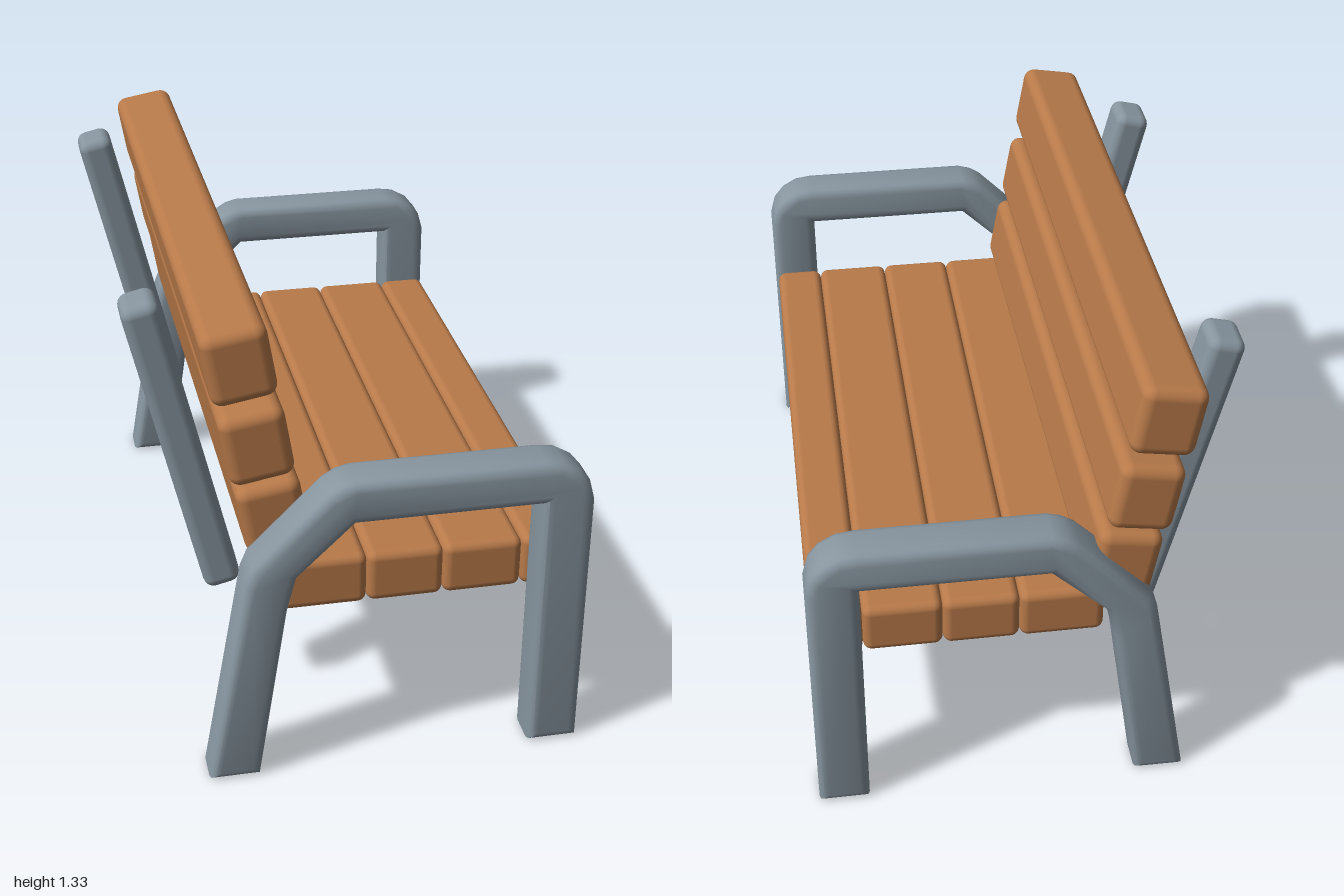
import * as THREE from 'three';
import { toCreasedNormals } from 'three/addons/utils/BufferGeometryUtils.js';
import { RoundedBoxGeometry } from 'three/addons/geometries/RoundedBoxGeometry.js';

const wood = new THREE.MeshStandardMaterial({ color: 0xb87a4a });
wood.name = 'wood';
const metal = new THREE.MeshStandardMaterial({ color: 0x87959f });
metal.name = 'grey metal';

// Softly rounded bar with its centre at (x, y, z)
function bar(name, material, size, position, radius) {
  const mesh = new THREE.Mesh(new RoundedBoxGeometry(...size, 3, radius), material);
  mesh.name = name;
  mesh.position.set(...position);
  return mesh;
}

// Bent side frame: rear leg, armrest and front leg in one piece
function sideFrameGeometry() {
  const outline = [
    [-0.45, 0], [-0.345, 0.62], [-0.325, 0.67], [-0.125, 0.872], [-0.09, 0.894], [-0.05, 0.905],
    [0.46, 0.905], [0.51, 0.898], [0.555, 0.872], [0.585, 0.835], [0.6, 0.78], [0.6, 0],
    [0.457, 0], [0.457, 0.78], [-0.05, 0.78], [-0.205, 0.63], [-0.23, 0.53], [-0.308, 0],
  ];
  const shape = new THREE.Shape(outline.map(([x, y]) => new THREE.Vector2(x, y)));
  const bevel = 0.028;
  const geometry = new THREE.ExtrudeGeometry(shape, {
    depth: 0.135 - 2 * bevel, bevelEnabled: true, bevelThickness: bevel,
    bevelSize: bevel, bevelOffset: -bevel, bevelSegments: 3,
  });
  geometry.translate(0, 0, bevel - 0.0675);
  return toCreasedNormals(geometry, 0.75);
}

export function createModel() {
  const group = new THREE.Group();
  group.name = 'bench';

  // Side frames
  const frame = sideFrameGeometry();
  for (const side of [1, -1]) {
    const mesh = new THREE.Mesh(frame, metal);
    mesh.name = side > 0 ? 'leftSideFrame' : 'rightSideFrame';
    mesh.position.z = side * 0.9325;
    group.add(mesh);
  }

  // Seat planks, from back to front
  const edges = [-0.225, 0.012, 0.226, 0.448, 0.592];
  for (let i = 0; i < 4; i++) {
    const width = edges[i + 1] - edges[i];
    group.add(bar('seatPlank' + (i + 1), wood, [width, 0.155, 1.74],
      [(edges[i] + edges[i + 1]) / 2, 0.523, 0], 0.025));
  }

  // Backrest slats, leaning back and very slightly askew
  const slats = [
    [-0.25, 0.74, -0.05, 1.80],
    [-0.295, 0.967, -0.045, 1.83],
    [-0.34, 1.211, -0.04, 1.84],
  ];
  slats.forEach(([x, y, z, length], i) => {
    const slat = bar('backSlat' + (i + 1), wood, [0.178, 0.208, length], [x, y, z], 0.033);
    slat.rotation.set(0.009, 0.011, 0.17);
    group.add(slat);
  });

  // Slanted posts behind the backrest
  for (const z of [0.59, -0.655]) {
    const post = bar(z > 0 ? 'leftBackPost' : 'rightBackPost', metal,
      [0.104, 0.91, 0.135], [-0.454, 0.847, z], 0.03);
    post.rotation.z = 0.232;
    group.add(post);
  }
  return group;
}
